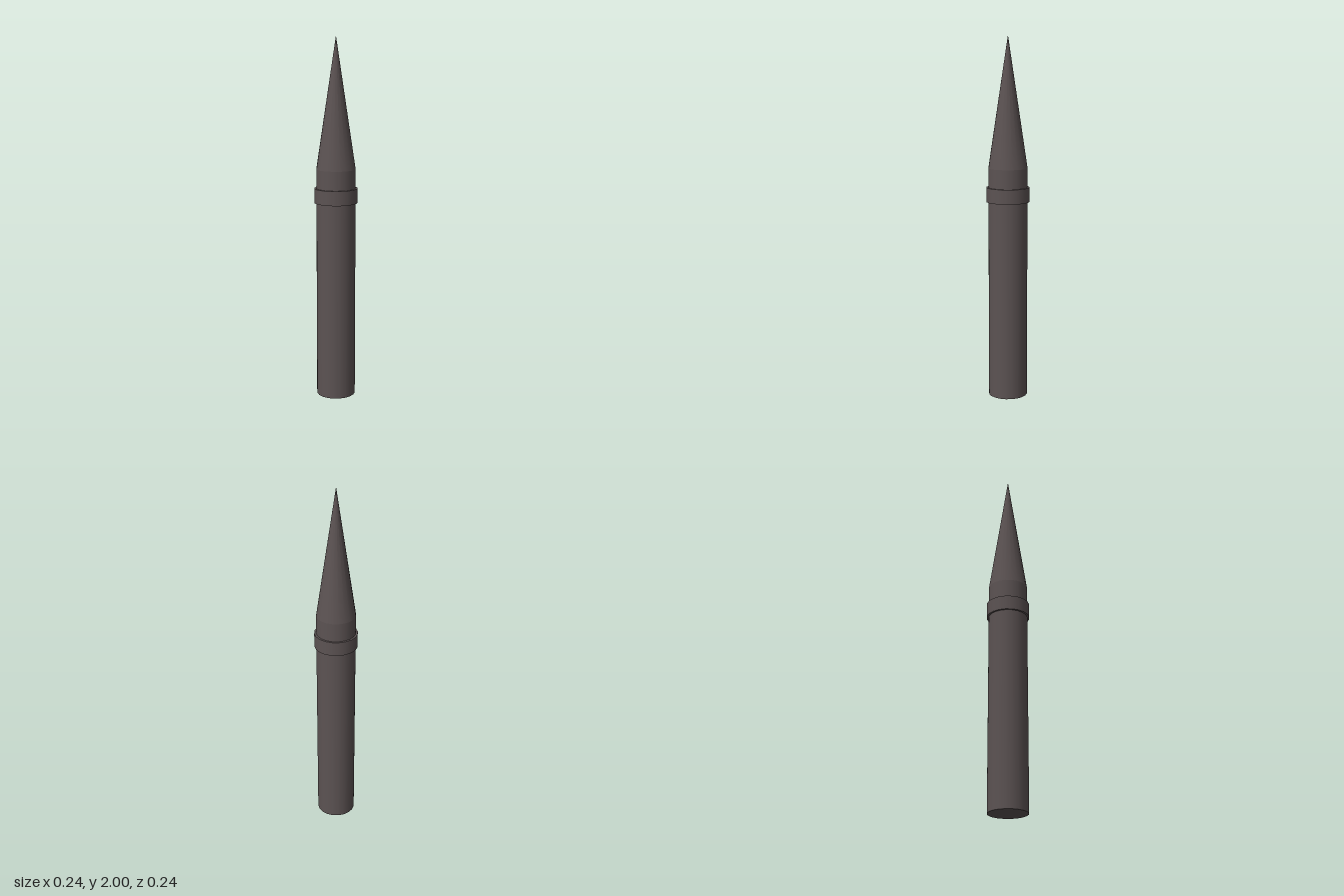
import * as THREE from 'three';

const SIDES = 20;
const BODY_RADIUS = 0.108;
const BAND_RADIUS = 0.119;

export function createModel() {
  const group = new THREE.Group();
  group.name = 'pointedPost';
  const material = new THREE.MeshStandardMaterial({ color: 0x5c5353 });

  const add = (name, geometry, bottom, height) => {
    const mesh = new THREE.Mesh(geometry, material);
    mesh.name = name;
    mesh.position.y = bottom + height / 2;
    group.add(mesh);
  };

  // Straight shaft, running up through the band to the foot of the tip
  add('shaft', new THREE.CylinderGeometry(BODY_RADIUS, BODY_RADIUS, 1.285, SIDES), 0, 1.285);

  // Raised band around the neck
  add('band', new THREE.CylinderGeometry(BAND_RADIUS, BAND_RADIUS, 0.08, SIDES), 1.1, 0.08);

  // Long sharp tip
  add('tip', new THREE.ConeGeometry(BODY_RADIUS, 0.715, SIDES, 1, true), 1.285, 0.715);

  return group;
}
